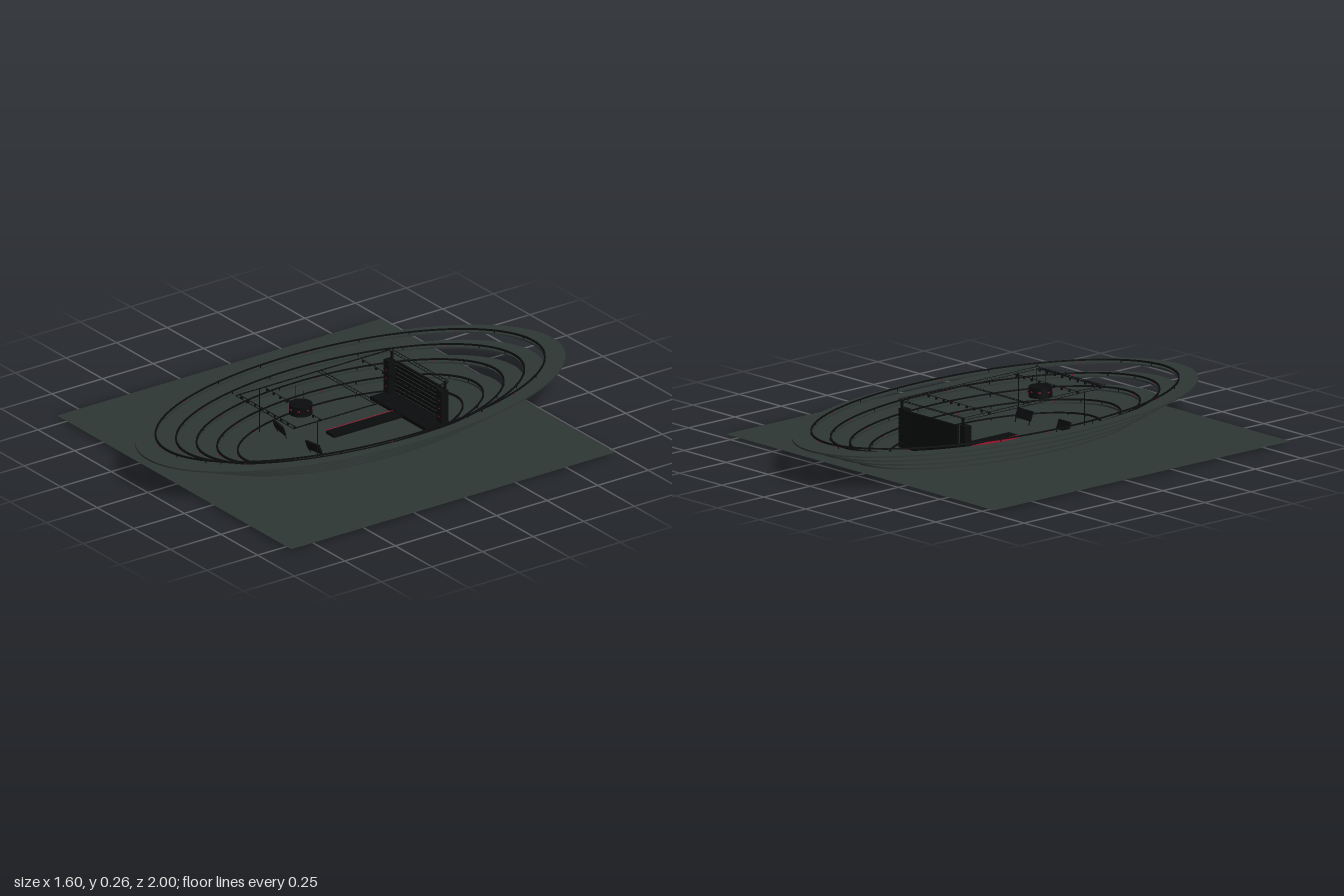
import * as THREE from 'three';

function mat(name, color, side = THREE.FrontSide) {
  const m = new THREE.MeshStandardMaterial({ color, side });
  m.name = name;
  return m;
}

export function createModel() {
  const grey = mat('slate grey', 0x2e3735, THREE.DoubleSide);
  const black = mat('black', 0x0b0c0d);
  const red = mat('red', 0xa0142c);
  const model = new THREE.Group();
  model.name = 'arena';

  const add = (name, geo, material, x, y, z, parent = model) => {
    const m = new THREE.Mesh(geo, material);
    m.name = name;
    m.position.set(x, y, z);
    parent.add(m);
    return m;
  };
  const box = (name, material, w, h, d, x, y, z, parent) =>
    add(name, new THREE.BoxGeometry(w, h, d), material, x, y, z, parent);
  const group = (name) => {
    const g = new THREE.Group();
    g.name = name;
    model.add(g);
    return g;
  };

  // flat oval ring; half length is twice the half width
  const ovalRing = (name, material, outer, inner, bottom, height, parent) => {
    const s = new THREE.Shape();
    s.absellipse(0, 0, outer, outer * 2, 0, Math.PI * 2, false, 0);
    const hole = new THREE.Path();
    hole.absellipse(0, 0, inner, inner * 2, 0, Math.PI * 2, true, 0);
    s.holes.push(hole);
    const g = new THREE.ExtrudeGeometry(s, { depth: height, bevelEnabled: false, curveSegments: 96 });
    g.rotateX(-Math.PI / 2);
    return add(name, g, material, 0, bottom, 0, parent);
  };

  // ground
  const floor = new THREE.PlaneGeometry(1.6, 1.6).rotateX(-Math.PI / 2);
  add('ground', floor, grey, 0, 0.01, 0.07);

  // five oval tiers with a railing along each inner edge
  for (let i = 0; i < 5; i++) {
    const tier = group('tier' + (i + 1));
    const outer = 0.309 + i * 0.04775;
    const inner = outer - 0.0475;
    const y = i * 0.0355;
    ovalRing('tierDeck', grey, outer, inner, y, 0.007, tier);
    ovalRing('tierRail', black, inner + 0.002, inner - 0.002, y + 0.016, 0.006, tier);
    for (let k = 0; k < 24; k++) {
      const a = ((k + 0.5) / 24) * Math.PI * 2;
      box('railPost', k % 3 ? black : red, 0.003, 0.012, 0.003,
        Math.cos(a) * (inner + 0.001), y + 0.012, Math.sin(a) * (inner + 0.001) * 2, tier);
    }
  }

  // stage, back wall and runway
  const stage = group('stage');
  box('stageDeck', black, 0.38, 0.015, 0.115, 0, 0.0175, -0.2925, stage);
  box('backWall', black, 0.312, 0.15, 0.01, 0, 0.09, -0.342, stage);
  box('runway', black, 0.056, 0.012, 0.34, 0, 0.016, -0.07, stage);
  box('runwayLight', red, 0.006, 0.012, 0.33, -0.031, 0.016, -0.07, stage);
  for (let i = 0; i < 8; i++) {
    box('wallRib', grey, 0.308, 0.002, 0.002, 0, 0.03 + i * 0.018, -0.336, stage);
  }

  // stacked speaker columns beside the wall
  for (const side of [-1, 1]) {
    const column = group(side < 0 ? 'rightColumn' : 'leftColumn');
    for (let i = 0; i < 9; i++) {
      box('speaker', black, 0.034, 0.015, 0.034, side * 0.181, 0.019 + i * 0.0175, -0.325, column);
    }
    box('columnSpine', black, 0.008, 0.19, 0.008, side * 0.181, 0.105, -0.338, column);
    for (let i = 0; i < 3; i++) {
      box('speakerLight', red, 0.008, 0.003, 0.002, side * 0.181, 0.054 + i * 0.035, -0.307, column);
    }
  }

  // overhead truss made of twin chords and rungs
  const roof = group('roofTruss');
  const truss = (x, z, length, alongX) => {
    const t = new THREE.Group();
    t.name = 'truss';
    t.position.set(x, 0.2, z);
    if (alongX) t.rotation.y = Math.PI / 2;
    for (const s of [-1, 1]) box('chord', black, 0.0018, 0.0018, length, s * 0.004, s * 0.004, 0, t);
    const n = Math.round(length / 0.02);
    for (let i = 0; i <= n; i++) {
      const r = box('rung', black, 0.0015, 0.011, 0.0015, 0, 0, (i / n - 0.5) * length, t);
      r.rotation.z = -Math.PI / 4;
    }
    roof.add(t);
  };
  for (const s of [-1, 1]) truss(s * 0.197, 0.04, 0.76, false);
  for (const z of [-0.34, 0.01, 0.415]) truss(0, z, 0.39, true);
  for (const z of [-0.195, 0.28, 0.405]) {
    box('lightBar', black, 0.39, 0.0018, 0.0018, 0, 0.199, z, roof);
    for (let i = 0; i < 9; i++) {
      box('spotlight', black, 0.007, 0.009, 0.007, -0.18 + i * 0.045, 0.193, z, roof);
    }
  }
  for (const s of [-1, 1]) box('roofPost', black, 0.003, 0.19, 0.003, s * 0.197, 0.105, 0.305, roof);

  // hanging drum with red bands and cables
  const drum = group('hangingDrum');
  add('drumBody', new THREE.CylinderGeometry(0.048, 0.048, 0.042, 16), black, 0, 0.171, 0.245, drum);
  for (let i = 0; i < 8; i++) {
    const a = (i / 8) * Math.PI * 2;
    const lamp = box('drumLamp', red, 0.01, 0.005, 0.004,
      Math.sin(a) * 0.048, 0.175, 0.245 + Math.cos(a) * 0.048, drum);
    lamp.rotation.y = a;
  }
  for (const s of [-1, 1]) box('cable', black, 0.0015, 0.07, 0.0015, s * 0.027, 0.225, 0.25, drum);

  // tilted panels facing the stage
  for (const s of [-1, 1]) {
    const panel = group(s < 0 ? 'rightPanel' : 'leftPanel');
    panel.position.set(s * 0.118, 0.048, 0.265);
    panel.rotation.set(0.35, s * 0.12, 0);
    box('panelFace', black, 0.08, 0.042, 0.008, 0, 0, 0, panel);
    for (const e of [-1, 1]) box('panelLeg', black, 0.003, 0.04, 0.003, e * 0.036, -0.02, 0, panel);
  }

  return model;
}
